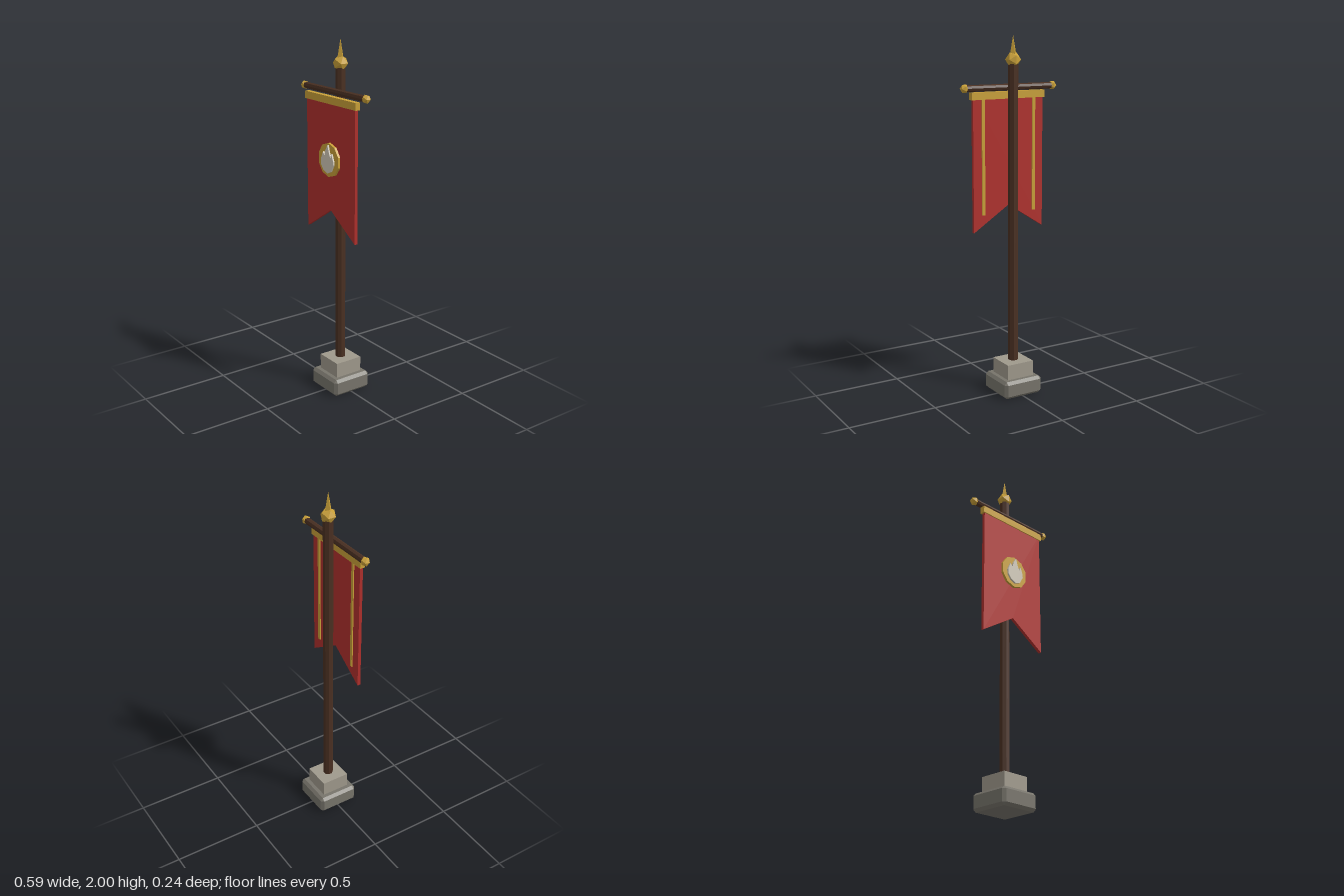
import * as THREE from 'three';
import { ConvexGeometry } from 'three/addons/geometries/ConvexGeometry.js';

const paint = (color) => new THREE.MeshStandardMaterial({ color, flatShading: true });

// Box with all edges and corners cut off
function chamferedBox(w, h, d, c) {
  const points = [];
  for (const x of [-1, 1]) for (const y of [-1, 1]) for (const z of [-1, 1]) {
    const [a, b, e] = [w / 2, h / 2, d / 2];
    points.push(
      new THREE.Vector3(x * a, y * (b - c), z * (e - c)),
      new THREE.Vector3(x * (a - c), y * b, z * (e - c)),
      new THREE.Vector3(x * (a - c), y * (b - c), z * e));
  }
  return new ConvexGeometry(points);
}

// Flat plate from an outline of [x, y] points
function plate(outline, depth) {
  const shape = new THREE.Shape(outline.map(([x, y]) => new THREE.Vector2(x, y)));
  return new THREE.ExtrudeGeometry(shape, { depth, bevelEnabled: false });
}

export function createModel() {
  const model = new THREE.Group();
  model.name = 'bannerStand';
  const wood = paint(0x4a3022), gold = paint(0xc9a038), red = paint(0xb0302c);
  const darkStone = paint(0x77746b), lightStone = paint(0x9f998c), ivory = paint(0xd0c8b8);

  const add = (name, geometry, material, x = 0, y = 0, z = 0) => {
    const mesh = new THREE.Mesh(geometry, material);
    mesh.name = name;
    mesh.position.set(x, y, z);
    model.add(mesh);
    return mesh;
  };

  // Stone foot
  add('basePlinth', chamferedBox(0.24, 0.1, 0.24, 0.016), darkStone, 0, 0.05, 0);
  add('upperPlinth', new THREE.BoxGeometry(0.164, 0.087, 0.164), lightStone, 0, 0.1425, 0);

  // Pole and finial
  const pole = add('pole', new THREE.CylinderGeometry(0.028, 0.028, 1.68, 8), wood, 0, 1.02, 0);
  pole.rotation.y = Math.PI / 8;
  add('finialKnob', new THREE.IcosahedronGeometry(0.043, 0), gold, 0, 1.87, 0);
  add('finialSpike', new THREE.ConeGeometry(0.021, 0.11, 4), gold, 0, 1.945, 0);

  // Crossbar with end knobs
  const bar = add('crossbar', new THREE.CylinderGeometry(0.018, 0.018, 0.54, 8), wood, 0, 1.723, 0.039);
  bar.rotation.z = Math.PI / 2;
  for (const side of [-1, 1]) {
    add(side > 0 ? 'leftBarKnob' : 'rightBarKnob',
      new THREE.IcosahedronGeometry(0.025, 0), gold, side * 0.276, 1.723, 0.039);
  }

  // Swallow-tailed cloth, top hem and back strips
  add('cloth', plate([[-0.22, 0.935], [0, 1.075], [0.22, 0.935], [0.22, 1.69], [-0.22, 1.69]], 0.018),
    red, 0, 0, 0.048);
  add('hem', new THREE.BoxGeometry(0.46, 0.04, 0.03), gold, 0, 1.68, 0.057);
  for (const side of [-1, 1]) {
    add(side > 0 ? 'leftBackStrip' : 'rightBackStrip',
      new THREE.BoxGeometry(0.018, 0.64, 0.008), gold, side * 0.16, 1.35, 0.046);
  }

  // Round medallion with flame
  const disc = add('medallion', new THREE.CylinderGeometry(0.094, 0.094, 0.018, 10), gold, 0, 1.358, 0.071);
  disc.rotation.x = Math.PI / 2;
  add('flame', plate([
    [0, 1.285], [0.035, 1.3], [0.057, 1.34], [0.056, 1.36], [0.04, 1.4], [0.03, 1.375],
    [0.018, 1.4], [0.004, 1.442], [-0.016, 1.41], [-0.024, 1.38], [-0.038, 1.4],
    [-0.058, 1.355], [-0.055, 1.325], [-0.035, 1.3],
  ], 0.012), ivory, 0, 0, 0.077);

  return model;
}
